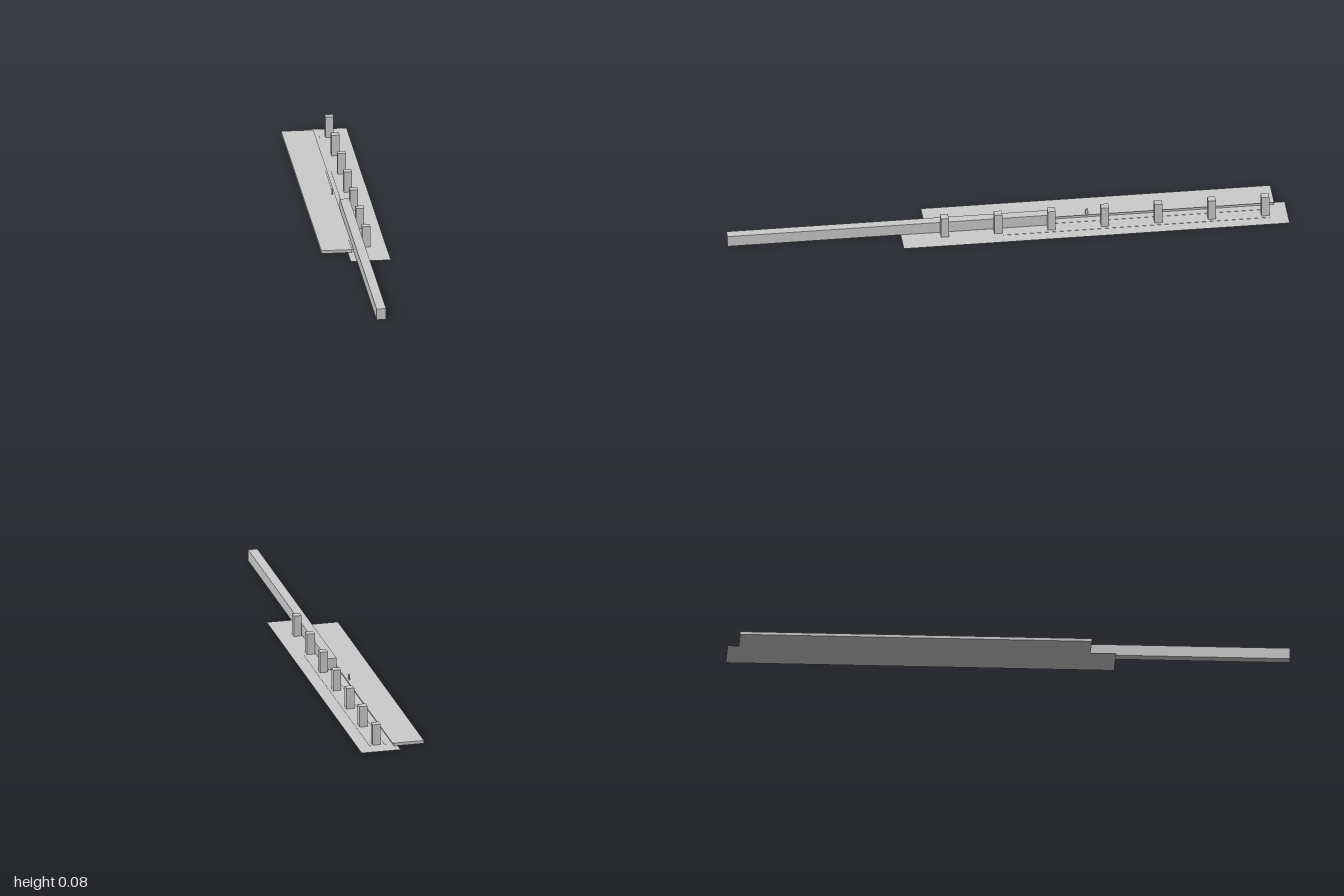
import * as THREE from 'three';

const material = new THREE.MeshStandardMaterial({ color: 0xcccccc, flatShading: true });

// Box given by its lower and upper bounds on each axis
function block(name, [x0, x1], [y0, y1], [z0, z1]) {
  const mesh = new THREE.Mesh(new THREE.BoxGeometry(x1 - x0, y1 - y0, z1 - z0), material);
  mesh.position.set((x0 + x1) / 2, (y0 + y1) / 2, (z0 + z1) / 2);
  mesh.name = name;
  return mesh;
}

export function createModel() {
  const model = new THREE.Group();
  model.name = 'stationPlatform';

  // Thin ground sheet under the tracks
  const groundMaterial = material.clone();
  groundMaterial.side = THREE.DoubleSide;
  const ground = new THREE.Mesh(new THREE.PlaneGeometry(0.143, 1.38).rotateX(-Math.PI / 2), groundMaterial);
  ground.position.set(0.0465, 0, -0.31);
  ground.name = 'ground';
  model.add(ground);

  // Platform with a narrow lip along the track side
  model.add(block('platform', [-0.12, -0.01], [0.001, 0.012], [-0.96, 0.29]));
  model.add(block('platformLip', [-0.011, -0.005], [0.0105, 0.0125], [-0.96, 0.29]));

  // Long train
  model.add(block('train', [-0.004, 0.03], [0.003, 0.044], [-0.15, 1]));

  // Flat track strips
  for (const x of [0.015, 0.07]) {
    model.add(block('track', [x - 0.003, x + 0.003], [0, 0.001], [-0.935, 0.02]));
  }

  // Row of pillars between the tracks
  for (let i = 0; i < 7; i++) {
    const z = -0.92 + i * 0.191;
    model.add(block('pillar', [0.032, 0.061], [0.001, 0.078], [z - 0.014, z + 0.014]));
  }

  // Small waiting figure at the platform edge
  model.add(block('waitingFigure', [-0.0165, -0.0125], [0.012, 0.031], [-0.295, -0.285]));

  return model;
}
